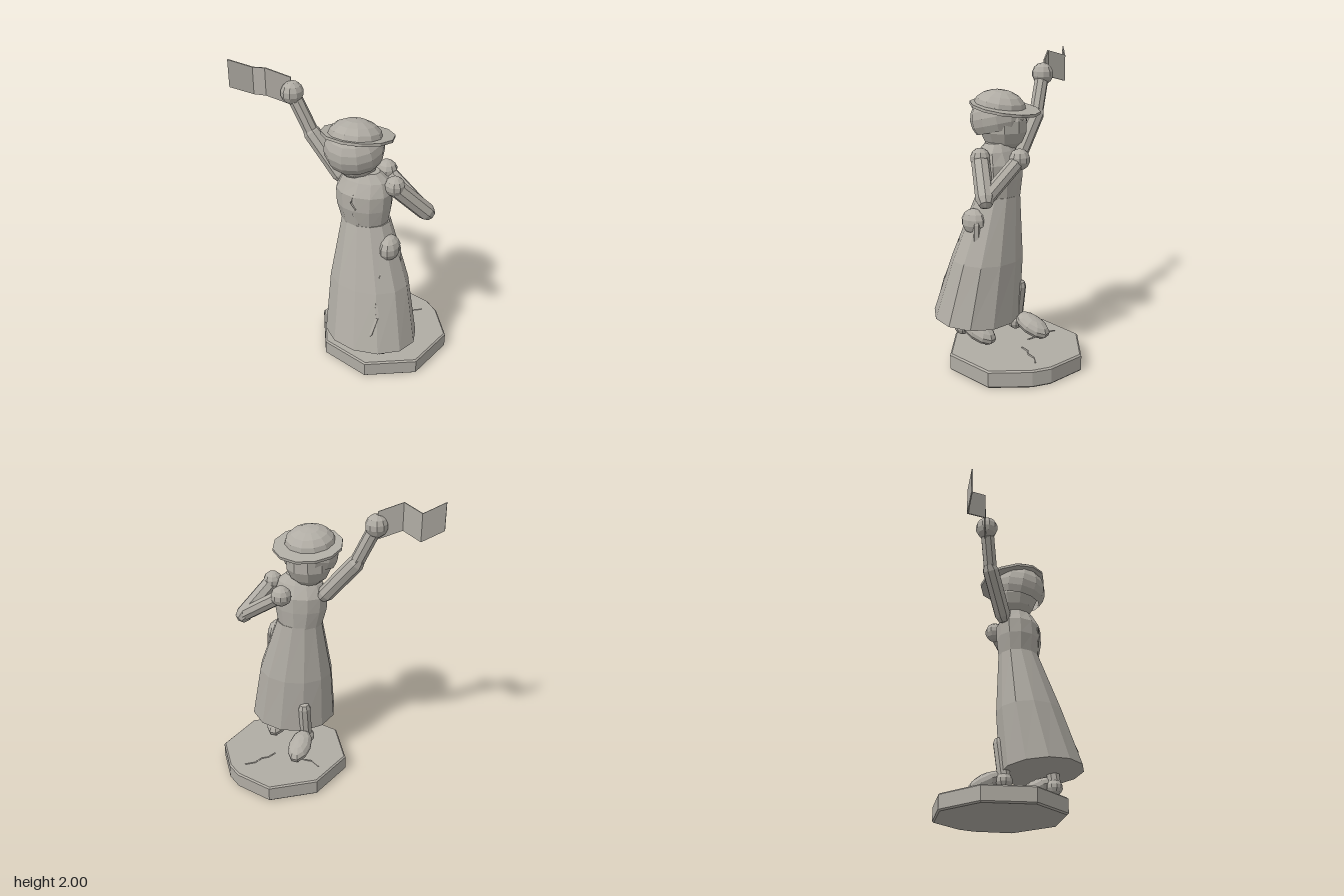
import * as THREE from 'three';

const stone = new THREE.MeshStandardMaterial({ color: 0xb0aca4, flatShading: true, side: THREE.DoubleSide });
stone.name = 'stone';

const V = (p) => new THREE.Vector3(...p);

function add(parent, name, geometry, pos = [0, 0, 0], scale = [1, 1, 1], tilt = 0) {
  const mesh = new THREE.Mesh(geometry, stone);
  mesh.name = name;
  mesh.position.set(...pos);
  mesh.scale.set(...scale);
  mesh.rotation.x = tilt;
  parent.add(mesh);
  return mesh;
}

const ball = (parent, name, pos, scale, tilt = 0) =>
  add(parent, name, new THREE.SphereGeometry(1, 10, 7), pos, scale, tilt);

// Rounded rod between two points
function limb(parent, name, a, b, r, sides = 8) {
  const p = V(a), q = V(b), d = q.clone().sub(p);
  const mesh = add(parent, name, new THREE.CapsuleGeometry(r, d.length(), 2, sides));
  mesh.position.copy(p).add(q).multiplyScalar(0.5);
  mesh.quaternion.setFromUnitVectors(new THREE.Vector3(0, 1, 0), d.normalize());
  return mesh;
}

// Thin zigzag ridge through a few points
function crack(parent, name, points, r) {
  const g = new THREE.Group();
  g.name = name;
  for (let i = 0; i + 1 < points.length; i++) limb(g, name + 'Segment', points[i], points[i + 1], r, 4);
  parent.add(g);
}

// Closed loft through elliptical rings, bottom to top: [y, cx, cz, rx, rz, lean]
function loft(rings, n = 12) {
  const pos = [], idx = [];
  for (const [y, cx, cz, rx, rz, lean = 0] of rings) {
    for (let i = 0; i < n; i++) {
      const a = (i / n) * Math.PI * 2;
      pos.push(cx + rx * Math.sin(a), y + lean * Math.cos(a), cz + rz * Math.cos(a));
    }
  }
  for (let k = 0; k + 1 < rings.length; k++) {
    for (let i = 0; i < n; i++) {
      const a = k * n + i, b = k * n + ((i + 1) % n);
      idx.push(a, b, b + n, a, b + n, a + n);
    }
  }
  const top = (rings.length - 1) * n;
  for (let i = 1; i + 1 < n; i++) idx.push(0, i + 1, i, top, top + i, top + i + 1);
  const g = new THREE.BufferGeometry();
  g.setAttribute('position', new THREE.Float32BufferAttribute(pos, 3));
  g.setIndex(idx);
  g.computeVertexNormals();
  return g;
}

export function createModel() {
  const model = new THREE.Group();
  model.name = 'statue';

  // Uneven nine-sided plinth
  const outline = [[0.21, -0.51], [0.47, -0.44], [0.57, -0.365], [0.72, -0.14], [0.64, 0.21],
    [0.34, 0.39], [0, 0.3], [-0.17, 0], [-0.07, -0.33]].map(([x, z]) => new THREE.Vector2(x, z));
  const slab = new THREE.ExtrudeGeometry(new THREE.Shape(outline), {
    depth: 0.093, bevelSize: 0.01, bevelThickness: 0.01, bevelOffset: -0.01, bevelSegments: 1 });
  slab.rotateX(Math.PI / 2);
  add(model, 'base', slab, [0, 0.103, 0]);
  crack(model, 'baseCrack', [[0.32, 0.115, -0.135], [0.345, 0.115, -0.19], [0.385, 0.115, -0.22],
    [0.41, 0.115, -0.28], [0.465, 0.115, -0.32]], 0.006);
  crack(model, 'baseCrack', [[-0.025, 0.115, -0.175], [0.035, 0.115, -0.135], [0.09, 0.115, -0.14],
    [0.19, 0.115, -0.1]], 0.005);

  // Legs and shoes, striding towards -z
  for (const [x, z] of [[0.14, -0.1], [0.405, 0.15]]) {
    ball(model, 'shoe', [x, 0.2, z], [0.08, 0.062, 0.135], -0.4);
    ball(model, 'heel', [x, 0.205, z + 0.13], [0.06, 0.055, 0.055]);
    limb(model, 'leg', [x, 0.22, z + 0.13], [x, 0.46, z + 0.1], 0.045);
  }

  // Flared skirt trailing to +z, and bodice
  add(model, 'skirt', loft([
    [0.285, 0.31, 0.23, 0.31, 0.275, 0.025],
    [0.68, 0.265, 0.17, 0.265, 0.22, 0.01],
    [1.09, 0.21, 0.118, 0.16, 0.137],
  ]));
  add(model, 'bodice', loft([
    [1.08, 0.205, 0.118, 0.155, 0.135],
    [1.2, 0.2, 0.125, 0.182, 0.15],
    [1.3, 0.2, 0.125, 0.188, 0.148],
    [1.38, 0.205, 0.125, 0.155, 0.105],
    [1.43, 0.2, 0.125, 0.1, 0.07],
  ]));
  crack(model, 'bodiceCrack', [[0.16, 1.36, 0.215], [0.185, 1.31, 0.26], [0.175, 1.26, 0.274],
    [0.205, 1.22, 0.272], [0.19, 1.18, 0.268], [0.22, 1.1, 0.252]], 0.006);
  crack(model, 'skirtCrack', [[0.39, 0.8, 0.295], [0.37, 0.7, 0.345], [0.405, 0.62, 0.37],
    [0.425, 0.54, 0.395], [0.405, 0.43, 0.445]], 0.012);
  crack(model, 'skirtCrack', [[0.31, 0.8, 0.315], [0.345, 0.72, 0.345], [0.36, 0.75, 0.33],
    [0.385, 0.68, 0.35]], 0.009);

  // Gathered cloth on the hip
  ball(model, 'hipGather', [0.4, 0.94, 0.175], [0.068, 0.085, 0.09]);
  for (let i = 0; i < 4; i++) {
    const t = i / 3;
    limb(model, 'gatherFold', [0.375 + 0.06 * t, 0.93, 0.23 - 0.1 * t],
      [0.36 + 0.08 * t, 0.82, 0.24 - 0.11 * t], 0.026, 6);
  }

  // Head with hair covering the back
  ball(model, 'face', [0.14, 1.53, 0.12], [0.155, 0.17, 0.16]);
  add(model, 'hair', new THREE.SphereGeometry(1, 12, 7, 0, Math.PI * 2, 0, 2.1),
    [0.14, 1.575, 0.155], [0.19, 0.165, 0.185], 0.22);

  // Tilted hat
  const hat = new THREE.Group();
  hat.name = 'hat';
  hat.position.set(0.14, 1.645, 0.105);
  hat.rotation.x = -0.17;
  add(hat, 'brim', new THREE.CylinderGeometry(0.23, 0.23, 0.018, 12));
  add(hat, 'crown', new THREE.SphereGeometry(1, 12, 4, 0, Math.PI * 2, 0, Math.PI / 2),
    [0, 0, 0.04], [0.17, 0.105, 0.17]);
  model.add(hat);

  // Raised right arm
  limb(model, 'rightUpperArm', [0.01, 1.33, 0.08], [-0.195, 1.575, 0.075], 0.056);
  limb(model, 'rightForearm', [-0.195, 1.575, 0.075], [-0.3, 1.8, 0.095], 0.047);
  ball(model, 'rightHand', [-0.315, 1.83, 0.097], [0.073, 0.075, 0.075]);

  // Bent left arm with the hand drawn to the chest
  ball(model, 'leftShoulder', [0.4, 1.355, 0.12], [0.065, 0.065, 0.065]);
  limb(model, 'leftUpperArm', [0.4, 1.35, 0.12], [0.56, 1.14, -0.025], 0.058);
  limb(model, 'leftForearm', [0.56, 1.14, -0.025], [0.28, 1.33, -0.075], 0.048);
  ball(model, 'leftHand', [0.26, 1.345, -0.08], [0.07, 0.068, 0.068]);

  // Pleated waving cloth: zigzag strip with sloping top and bottom
  const folds = [[-0.725, 2, 0.17], [-0.6, 1.943, 0.085], [-0.47, 1.98, 0.147], [-0.325, 1.925, 0.09]];
  const pos = [], idx = [];
  for (const [x, y, z] of folds) {
    for (const dz of [0.005, -0.005]) pos.push(x, y - 0.18, z + dz, x, y, z + dz);
  }
  for (let k = 0; k < 3; k++) {
    const a = k * 4, b = a + 4;
    for (const [p, q] of [[0, 1], [1, 3], [3, 2], [2, 0]]) {
      idx.push(a + p, b + p, b + q, a + p, b + q, a + q);
    }
  }
  idx.push(0, 1, 3, 0, 3, 2, 12, 14, 15, 12, 15, 13);
  const cloth = new THREE.BufferGeometry();
  cloth.setAttribute('position', new THREE.Float32BufferAttribute(pos, 3));
  cloth.setIndex(idx);
  cloth.computeVertexNormals();
  add(model, 'wavingCloth', cloth);

  return model;
}
